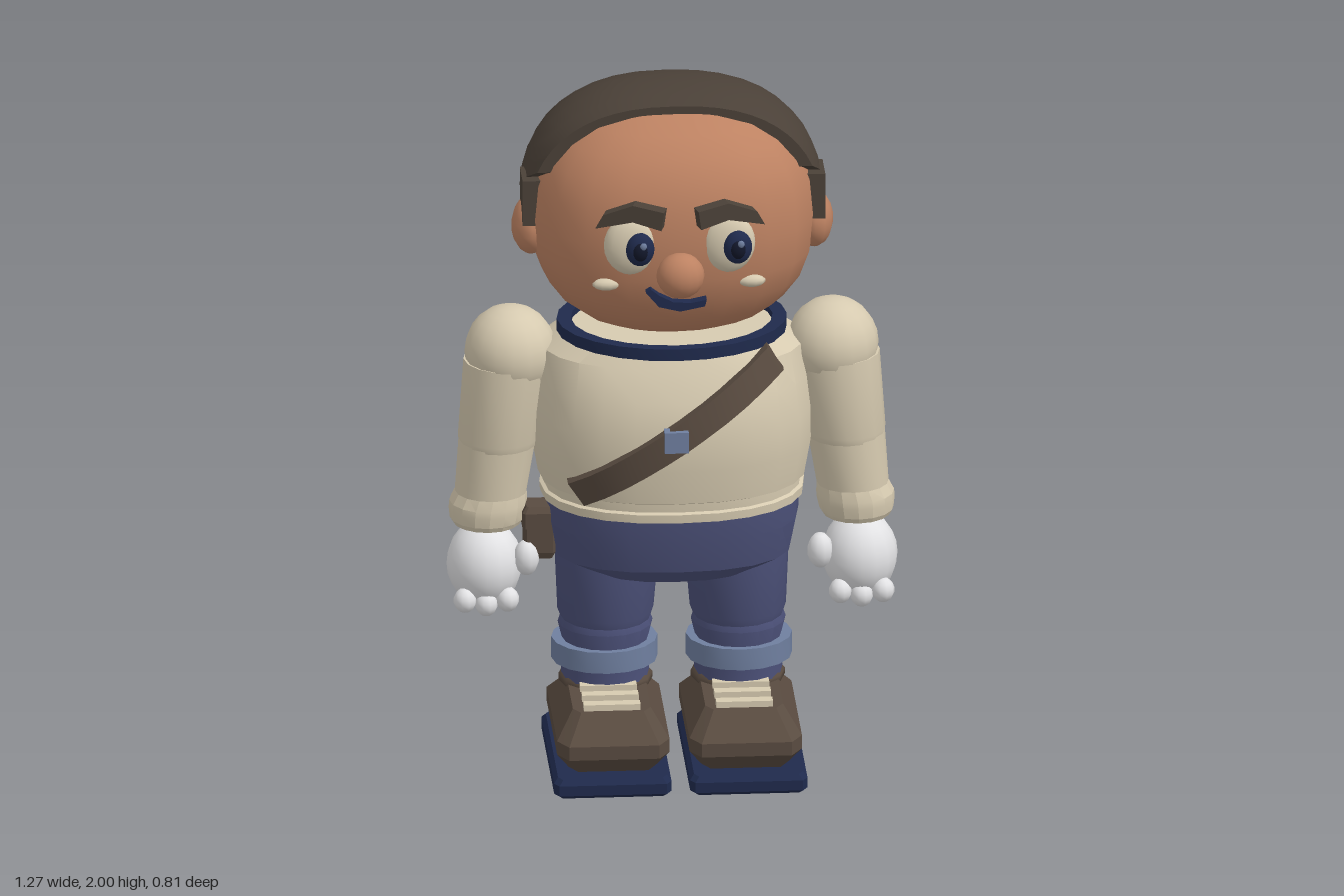
import * as THREE from 'three';
import { toCreasedNormals } from 'three/addons/utils/BufferGeometryUtils.js';

const paint = (name, color) => {
  const m = new THREE.MeshStandardMaterial({ color });
  m.name = name;
  return m;
};

// Joins rings of equal point count into a skin; closes every ring.
function skin(rings, crease = 0.6) {
  const n = rings[0].length, index = [];
  for (let j = 0; j < rings.length - 1; j++) {
    for (let i = 0; i < n; i++) {
      const a = j * n + i, b = j * n + (i + 1) % n;
      index.push(a, a + n, b + n, a, b + n, b);
    }
  }
  const g = new THREE.BufferGeometry();
  g.setAttribute('position', new THREE.Float32BufferAttribute(rings.flat(2), 3));
  g.setIndex(index);
  return toCreasedNormals(g, crease);
}

const bend = (v, p) => Math.sign(v) * Math.abs(v) ** (2 / p);
const centre = (ring) => {
  const c = [0, 1, 2].map((k) => ring.reduce((s, q) => s + q[k], 0) / ring.length);
  return ring.map(() => c);
};
const capped = (rings) => [centre(rings[0]), ...rings, centre(rings.at(-1))];

// Levels are [y, rx, rz, cx, cz]; p squares off the cross-section.
function loft(levels, n = 16, p = 2, crease = 0.6) {
  const half = p > 4 ? 0.5 : 0;
  return skin(capped(levels.map(([y, rx, rz, cx = 0, cz = 0]) =>
    Array.from({ length: n }, (_, i) => {
      const a = ((i + half) / n) * Math.PI * 2;
      return [cx + rx * bend(Math.cos(a), p), y, cz + rz * bend(Math.sin(a), p)];
    }))), crease);
}

const torsoLevels = [
  [0.785, 0.355, 0.28], [0.79, 0.372, 0.292], [0.815, 0.374, 0.294], [0.82, 0.364, 0.285],
  [0.845, 0.364, 0.287], [0.85, 0.378, 0.297], [0.95, 0.396, 0.31], [1.05, 0.396, 0.315],
  [1.15, 0.385, 0.295], [1.24, 0.37, 0.25], [1.285, 0.3, 0.225],
];
// Depth of the torso surface at x, y
function torsoDepth(x, y) {
  const L = torsoLevels;
  let k = 0;
  while (k < L.length - 2 && L[k + 1][0] < y) k++;
  const t = THREE.MathUtils.clamp((y - L[k][0]) / (L[k + 1][0] - L[k][0]), 0, 1);
  const rx = THREE.MathUtils.lerp(L[k][1], L[k + 1][1], t);
  const rz = THREE.MathUtils.lerp(L[k][2], L[k + 1][2], t);
  return rz * Math.max(0.1, 1 - Math.abs(x / rx) ** 2.3) ** (1 / 2.3);
}

export function createModel() {
  const skinTone = paint('skin', 0xbd8262), hairBrown = paint('hair brown', 0x4b4138);
  const leather = paint('leather', 0x594b40), cream = paint('cream', 0xd6cab0);
  const denim = paint('denim', 0x4c5179), steel = paint('light blue', 0x6f7f9f);
  const navy = paint('navy', 0x1f2a4c), white = paint('white', 0xe2e2e4);
  const dark = paint('pupil', 0x12172a);

  const model = new THREE.Group();
  model.name = 'figure';
  const add = (name, geo, mat, x = 0, y = 0, z = 0) => {
    const m = new THREE.Mesh(geo, mat);
    m.name = name;
    m.position.set(x, y, z);
    model.add(m);
    return m;
  };
  const ball = (name, mat, x, y, z, rx, ry = rx, rz = rx, n = 16) =>
    add(name, new THREE.SphereGeometry(1, n, Math.ceil(n * 0.7)).scale(rx, ry, rz), mat, x, y, z);
  const box = (name, mat, x, y, z, w, h, d) =>
    add(name, new THREE.BoxGeometry(w, h, d), mat, x, y, z);

  // Head: a slightly squared ellipsoid
  const P = 2.4, headLevels = [];
  for (let k = 0; k <= 12; k++) {
    const a = -Math.PI / 2 + 0.15 + (k / 12) * (Math.PI - 0.3);
    const r = bend(Math.cos(a), P);
    headLevels.push([1.64 + 0.345 * bend(Math.sin(a), P), 0.405 * r, 0.347 * r, 0, -0.012]);
  }
  add('head', loft(headLevels, 20, P, 0.5), skinTone);

  // Hair: slices from the straight front edge to the back, cut by a sloping hairline
  const slices = [];
  for (let j = 0; j <= 12; j++) {
    const a = 0.33 + (j / 12) * (Math.PI / 2 - 0.36 + Math.PI / 2 - 0.33 + 0.33);
    const z = j === 0 ? 0.125 : Math.min(0.125, -0.01 + 0.398 * bend(Math.cos(1.3 + (a - 0.33) * 0.66), P));
    const s = Math.max(0.01, 1 - Math.abs((z + 0.01) / 0.4) ** P) ** (1 / P);
    const cut = 1.8 - (0.125 - z) * 0.54;
    const v = THREE.MathUtils.clamp((cut - 1.64) / (0.362 * s), -1, 1);
    const low = Math.asin(Math.sign(v) * Math.abs(v) ** (P / 2));
    slices.push(Array.from({ length: 21 }, (_, i) => {
      const t = low + (i / 20) * (Math.PI - 2 * low);
      return [0.43 * s * bend(Math.cos(t), P), 1.64 + 0.362 * s * bend(Math.sin(t), P), z];
    }));
  }
  add('hair', skin(capped(slices), 0.6), hairBrown);

  // Brow outline, for the +x side
  const brow = new THREE.Shape([[-0.1, 0.02], [-0.01, 0.035], [0.075, 0], [0.098, -0.042],
    [0.07, -0.035], [-0.01, -0.015], [-0.092, -0.035]].map(([x, y]) => new THREE.Vector2(x, y)));

  for (const s of [-1, 1]) {
    const side = s > 0 ? 'left' : 'right';
    // Face details and ears
    ball(side + 'Ear', skinTone, s * 0.4, 1.6, 0.01, 0.055, 0.083, 0.08, 12);
    box(side + 'Sideburn', hairBrown, s * 0.4, 1.692, 0.028, 0.055, 0.135, 0.115);
    ball(side + 'Eye', cream, s * 0.138, 1.647, 0.308, 0.076, 0.088, 0.038);
    ball(side + 'Iris', navy, s * 0.138 + 0.024, 1.645, 0.34, 0.041, 0.049, 0.03);
    ball(side + 'Pupil', dark, s * 0.138 + 0.024, 1.645, 0.35, 0.026, 0.033, 0.026);
    ball(side + 'EyeGlint', steel, s * 0.138 + 0.032, 1.665, 0.371, 0.01, 0.011, 0.006, 8);
    ball(side + 'CheekMark', cream, s * 0.205, 1.523, 0.29, 0.04, 0.018, 0.02, 10);
    const browGeo = new THREE.ExtrudeGeometry(brow, { depth: 0.04, bevelEnabled: false });
    browGeo.translate(0, 0, -0.02).rotateY(0.27);
    if (s < 0) { // turned half round and flipped back to face front, giving a mirrored brow
      const p = browGeo.attributes.position;
      for (let i = 0; i < p.count; i++) p.setX(i, -p.getX(i));
      for (let i = 0; i < p.count; i += 3) {
        const b = [p.getX(i + 1), p.getY(i + 1), p.getZ(i + 1)];
        p.setXYZ(i + 1, p.getX(i + 2), p.getY(i + 2), p.getZ(i + 2));
        p.setXYZ(i + 2, ...b);
      }
      browGeo.computeVertexNormals();
    }
    add(side + 'Brow', browGeo, hairBrown, s * 0.14, 1.75, 0.338);

    // Arm, cuff and hand
    ball(side + 'Shoulder', cream, s * 0.455, 1.212, -0.015, 0.13, 0.133, 0.133);
    add(side + 'UpperArm', loft([[0.94, 0.11, 0.115, s * 0.49, -0.01], [0.96, 0.116, 0.12, s * 0.488, -0.01],
      [1.19, 0.125, 0.128, s * 0.463, -0.015]]), cream);
    add(side + 'Forearm', loft([[0.76, 0.1, 0.104, s * 0.515, -0.01], [0.955, 0.11, 0.115, s * 0.492, -0.01]]), cream);
    add(side + 'Cuff', loft([[0.7, 0.096, 0.1, s * 0.522, -0.01], [0.715, 0.105, 0.108, s * 0.522, -0.01],
      [0.745, 0.11, 0.113, s * 0.52, -0.01], [0.765, 0.11, 0.113, s * 0.518, -0.01],
      [0.8, 0.1, 0.105, s * 0.51, -0.01]], 16, 2, 0.3), cream);
    ball(side + 'Hand', white, s * 0.53, 0.58, 0.005, 0.107, 0.125, 0.118);
    ball(side + 'Thumb', white, s * 0.415, 0.61, 0.055, 0.037, 0.052, 0.04, 10);
    for (let f = -1; f <= 1; f++) {
      ball(side + 'Finger', white, s * (0.53 + f * 0.06), 0.485 + Math.abs(f) * 0.012, 0.085, 0.033, 0.036, 0.036, 10);
    }

    // Leg, rolled trouser band and shoe
    add(side + 'Thigh', loft([[0.4, 0.125, 0.128, s * 0.187, -0.012], [0.43, 0.136, 0.138, s * 0.187, -0.012],
      [0.62, 0.148, 0.15, s * 0.183, -0.012]]), denim);
    add(side + 'Shin', loft([[0.23, 0.125, 0.125, s * 0.188, -0.012], [0.34, 0.122, 0.122, s * 0.188, -0.012],
      [0.39, 0.134, 0.136, s * 0.188, -0.012], [0.43, 0.12, 0.122, s * 0.188, -0.012]]), denim);
    add(side + 'TrouserBand', loft([[0.28, 0.15, 0.142, s * 0.19, -0.012],
      [0.343, 0.15, 0.142, s * 0.19, -0.012]]), steel);
    ball(side + 'Ankle', leather, s * 0.187, 0.222, -0.012, 0.135, 0.05, 0.13, 12);
    add(side + 'Shoe', loft([[0.055, 0.125, 0.215, s * 0.187, 0.097], [0.11, 0.162, 0.268, s * 0.187, 0.097],
      [0.15, 0.162, 0.268, s * 0.187, 0.097], [0.222, 0.112, 0.17, s * 0.187, 0.11]], 8, 8, 0.2), leather);
    add(side + 'Sole', loft([[0, 0.155, 0.27, s * 0.192, 0.1], [0.012, 0.167, 0.285, s * 0.192, 0.1],
      [0.042, 0.167, 0.285, s * 0.192, 0.1], [0.056, 0.155, 0.27, s * 0.192, 0.1]], 8, 20, 0.2), navy);
    for (let k = 0; k < 3; k++) {
      box(side + 'Lace', cream, s * 0.187, 0.226, 0.25 - k * 0.075, 0.16, 0.028, 0.033);
    }
  }

  // Nose and lopsided smile
  ball('nose', skinTone, 0, 1.565, 0.345, 0.068, 0.066, 0.06);
  const smile = new THREE.Shape([[-0.097, 1.512], [-0.06, 1.468], [0, 1.453], [0.07, 1.467], [0.075, 1.487],
    [0.03, 1.478], [-0.02, 1.482], [-0.06, 1.503], [-0.083, 1.522]].map(([x, y]) => new THREE.Vector2(x, y)));
  add('mouth', new THREE.ExtrudeGeometry(smile, { depth: 0.05, bevelEnabled: false }), navy, 0, 0, 0.288);

  // Torso, collar and hips
  add('torso', loft(torsoLevels, 24, 2.3, 0.4), cream, 0, 0, -0.01);
  const ring = [[0.285, 1.27], [0.325, 1.27], [0.325, 1.305], [0.285, 1.305], [0.285, 1.27]];
  const collar = new THREE.LatheGeometry(ring.map(([x, y]) => new THREE.Vector2(x, y)), 24);
  add('collar', toCreasedNormals(collar.scale(1, 1, 0.81), 0.6), navy, 0, 0, -0.01);
  add('hips', loft([[0.572, 0.24, 0.19], [0.62, 0.338, 0.24], [0.72, 0.358, 0.262], [0.8, 0.36, 0.268]],
    20, 2.4, 0.4), denim, 0, 0, -0.012);

  // Diagonal strap, front and back, laid over the torso
  const from = [-0.287, 0.865], to = [0.28, 1.245];
  const len = Math.hypot(to[0] - from[0], to[1] - from[1]);
  const nx = -(to[1] - from[1]) / len * 0.041, ny = (to[0] - from[0]) / len * 0.041;
  for (const s of [1, -1]) {
    const rings = [];
    for (let k = 0; k <= 10; k++) {
      const x = from[0] + (to[0] - from[0]) * k / 10;
      const y = from[1] + (to[1] - from[1]) * k / 10 + (s < 0 ? 0.03 : 0);
      const z = torsoDepth(x, y);
      const loop = [[-1, 0.027], [1, 0.027], [1, -0.02], [-1, -0.02]].map(([e, h]) =>
        [x + nx * e, y + ny * e, s * (z + h) - 0.01]);
      rings.push(s > 0 ? loop : loop.reverse());
    }
    add(s > 0 ? 'frontStrap' : 'backStrap', skin(capped(rings), 0.5), leather);
  }
  box('buckle', steel, -0.01, 1.057, 0.325, 0.068, 0.062, 0.04);

  // Hip pouch with a flap
  add('pouch', loft([[0.605, 0.036, 0.036, -0.377, 0.02], [0.625, 0.045, 0.045, -0.377, 0.02],
    [0.72, 0.045, 0.045, -0.377, 0.02]], 8, 10, 0.2), leather);
  add('pouchFlap', loft([[0.7, 0.05, 0.05, -0.377, 0.02], [0.745, 0.05, 0.05, -0.377, 0.02],
    [0.762, 0.038, 0.038, -0.377, 0.02]], 8, 10, 0.2), leather);
  return model;
}
